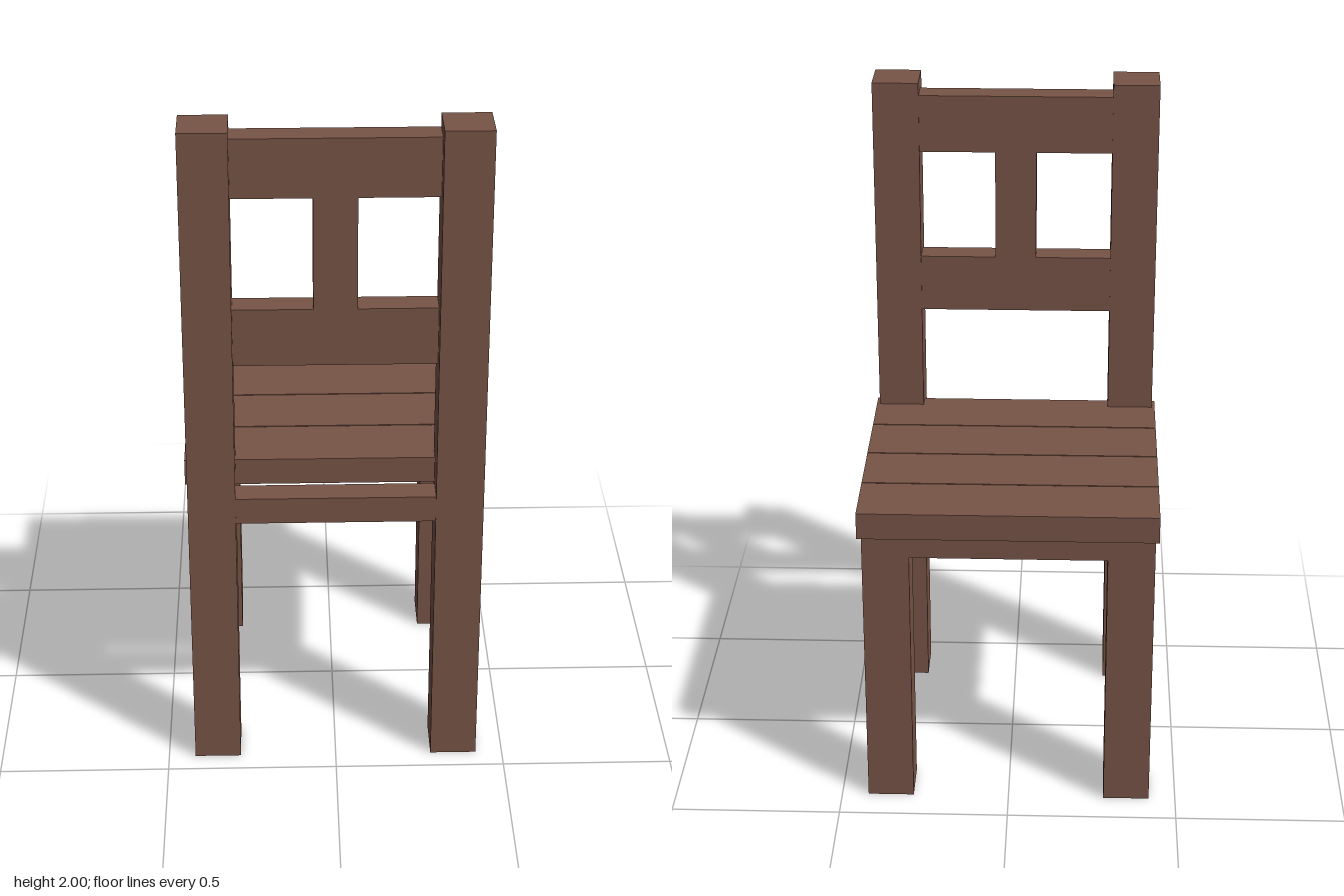
import * as THREE from 'three';

export function createModel() {
  const chair = new THREE.Group();
  chair.name = 'chair';
  const wood = new THREE.MeshStandardMaterial({ color: 0x795548 });

  // Axis-aligned board given by its extents along x, y and z
  function board(name, [x0, x1], [y0, y1], [z0, z1]) {
    const mesh = new THREE.Mesh(new THREE.BoxGeometry(x1 - x0, y1 - y0, z1 - z0), wood);
    mesh.position.set((x0 + x1) / 2, (y0 + y1) / 2, (z0 + z1) / 2);
    mesh.name = name;
    chair.add(mesh);
  }

  const inner = 0.285, outer = 0.421;
  const span = [-inner, inner];
  const railY = [0.81, 0.89];
  const backZ = [0.306, 0.383];

  // Legs, tall back posts and side rails, mirrored left and right
  for (const [side, s] of [['left', 1], ['right', -1]]) {
    const across = (a, b) => [s * a, s * b].sort((p, q) => p - q);
    board(side + 'BackPost', across(inner, outer), [0, 2], [0.302, 0.437]);
    board(side + 'SeatLeg', across(inner, outer), [0, 0.89], [-0.4, -0.265]);
    board(side + 'SideRail', across(outer - 0.078, outer), railY, [-0.265, 0.302]);
  }

  // Rails under the seat, flush with the outside of the legs
  board('seatEdgeRail', span, railY, [-0.4, -0.322]);
  board('backSeatRail', span, railY, [0.357, 0.435]);

  // Four seat planks with narrow gaps
  for (let i = 0; i < 4; i++) {
    const z = -0.44 + i * 0.198;
    board('seatPlank' + (i + 1), [-0.43, 0.43], [0.89, 0.97], [z, z + 0.194]);
  }

  // Backrest: two rails joined by a central slat
  board('topBackRail', span, [1.79, 1.962], backZ);
  board('lowerBackRail', span, [1.288, 1.46], backZ);
  board('backSlat', [-0.061, 0.061], [1.46, 1.79], backZ);

  return chair;
}
